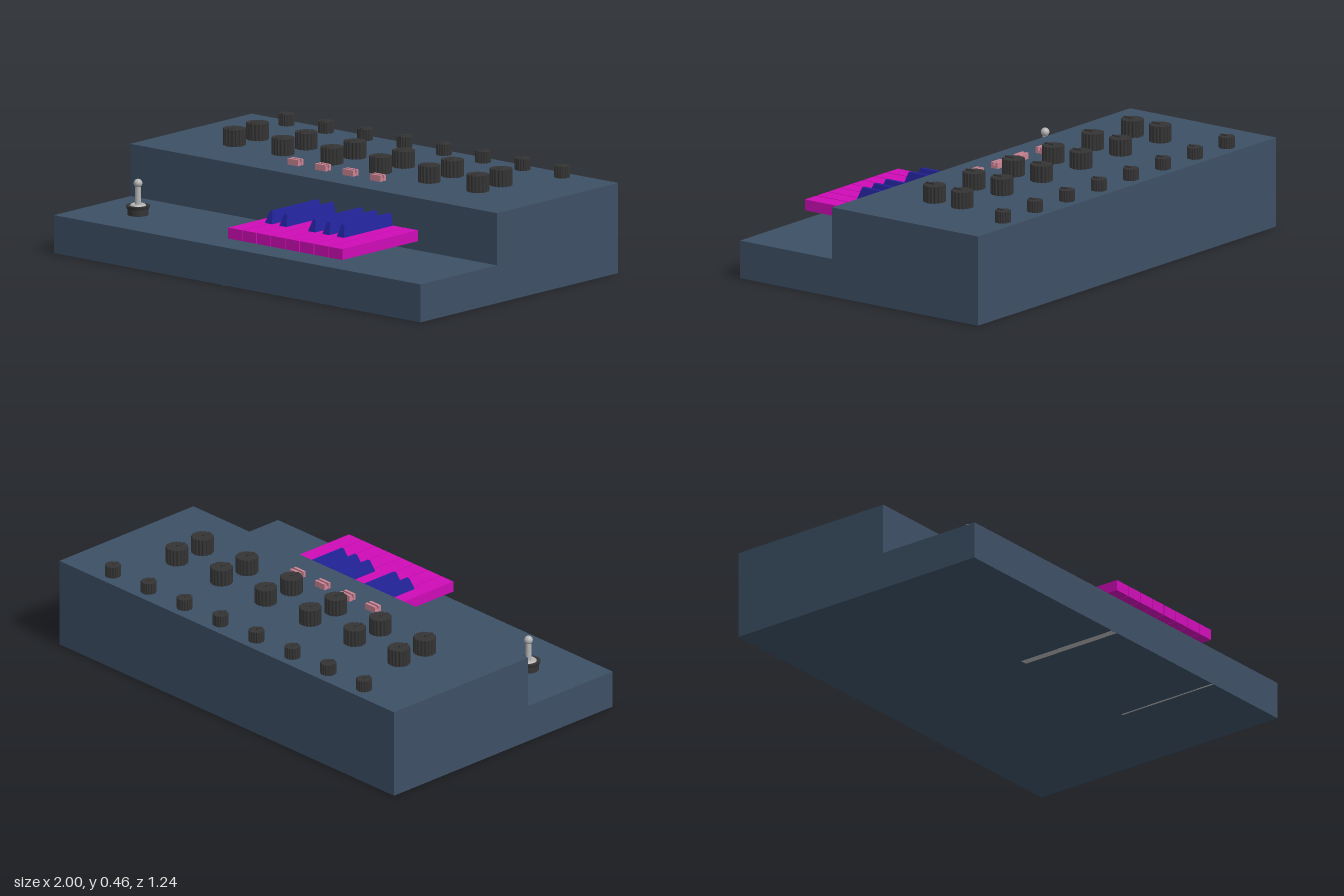
import * as THREE from 'three';

const mat = (name, color) => {
  const m = new THREE.MeshStandardMaterial({ color });
  m.name = name;
  return m;
};

export function createModel() {
  const group = new THREE.Group();
  const slate = mat('slate casing', 0x3d5065);
  const black = mat('black plastic', 0x343434);
  const magenta = mat('magenta keys', 0xce0cb6);
  const blue = mat('blue keys', 0x22229a);
  const pink = mat('pink switches', 0xcc8494);
  const silver = mat('silver metal', 0xb4b4b4);

  const add = (name, geo, material, x = 0, y = 0, z = 0, parent = group) => {
    const mesh = new THREE.Mesh(geo, material);
    mesh.name = name;
    mesh.position.set(x, y, z);
    parent.add(mesh);
    return mesh;
  };
  const box = (w, h, d) => new THREE.BoxGeometry(w, h, d);

  // Stepped casing: side profile (z, y) extruded across the width
  const profile = new THREE.Shape([
    [-0.62, 0], [-0.62, 0.38], [0.14, 0.38], [0.14, 0.16], [0.62, 0.16], [0.62, 0],
  ].map(([z, y]) => new THREE.Vector2(-z, y)));
  const casing = new THREE.ExtrudeGeometry(profile, { depth: 2, bevelEnabled: false });
  casing.translate(0, 0, -1).rotateY(Math.PI / 2);
  add('casing', casing, slate);

  // Thin rails on the underside, either side of the keyboard
  add('undersideRail', box(0.03, 0.004, 0.475), silver, -0.075, 0.001, 0.38);
  add('undersideRail', box(0.008, 0.004, 0.475), silver, 0.575, 0.001, 0.38);

  // Eight natural keys
  const pitch = 0.0783, left = -0.055;
  const natural = box(pitch - 0.004, 0.046, 0.476);
  for (let i = 0; i < 8; i++) {
    add('naturalKey', natural, magenta, left + pitch * (i + 0.5), 0.222, 0.377);
  }

  // Sharp keys: tapered to a narrow top, with a sloping front
  const sharp = box(0.038, 0.05, 0.31);
  const p = sharp.attributes.position;
  for (let i = 0; i < p.count; i++) {
    if (p.getY(i) > 0) {
      p.setX(i, p.getX(i) * 0.4);
      if (p.getZ(i) > 0) p.setZ(i, p.getZ(i) - 0.018);
    }
  }
  sharp.computeVertexNormals();
  for (const i of [1, 2, 4, 5, 6]) {
    add('sharpKey', sharp, blue, left + pitch * i, 0.27, 0.295);
  }

  // Fluted knob with a raised pointer on top
  const knobGeometry = (r, h) => {
    const pts = [];
    const flutes = 18;
    for (let i = 0; i < flutes * 4; i++) {
      const a = (i / (flutes * 4)) * Math.PI * 2;
      const rr = i % 4 < 2 ? r : r * 0.92;
      pts.push(new THREE.Vector2(Math.cos(a) * rr, Math.sin(a) * rr));
    }
    const geo = new THREE.ExtrudeGeometry(new THREE.Shape(pts), { depth: h, bevelEnabled: false });
    return geo.rotateX(-Math.PI / 2);
  };
  const addKnobs = (name, count, x0, step, z, r, h) => {
    const body = knobGeometry(r, h);
    const pointer = box(r * 0.18, 0.006, r * 0.9);
    for (let i = 0; i < count; i++) {
      const knob = new THREE.Group();
      knob.name = name;
      knob.position.set(x0 + step * i, 0.38, z);
      add('knobBody', body, black, 0, 0, 0, knob);
      add('knobPointer', pointer, black, 0, h + 0.002, r * 0.45, knob);
      group.add(knob);
    }
  };
  addKnobs('largeKnob', 6, -0.667, 0.2656, -0.275, 0.047, 0.07);
  addKnobs('largeKnob', 6, -0.667, 0.2656, -0.13, 0.047, 0.07);
  addKnobs('smallKnob', 8, -0.753, 0.2146, -0.555, 0.033, 0.048);

  // Four switches, each a low plate with two raised bars
  for (let i = 0; i < 4; i++) {
    const x = -0.228 + i * 0.15;
    add('switchPlate', box(0.054, 0.012, 0.032), pink, x, 0.386, -0.007);
    for (const z of [-0.018, 0.004]) {
      add('switchBar', box(0.058, 0.026, 0.012), pink, x, 0.393, z);
    }
  }

  // Joystick: flanged socket, metal dome, stem and ball
  const stick = new THREE.Group();
  stick.name = 'joystick';
  stick.position.set(-0.745, 0.16, 0.385);
  group.add(stick);
  add('joystickSocket', new THREE.CylinderGeometry(0.043, 0.043, 0.026, 32), black, 0, 0.013, 0, stick);
  add('joystickFlange', new THREE.CylinderGeometry(0.05, 0.046, 0.014, 32), black, 0, 0.033, 0, stick);
  add('joystickDome', new THREE.CylinderGeometry(0.03, 0.035, 0.006, 32), silver, 0, 0.042, 0, stick);
  add('joystickStem', new THREE.CylinderGeometry(0.011, 0.013, 0.09, 20), silver, 0, 0.088, 0, stick);
  add('joystickBall', new THREE.SphereGeometry(0.018, 20, 14), silver, 0, 0.133, 0, stick);

  return group;
}
